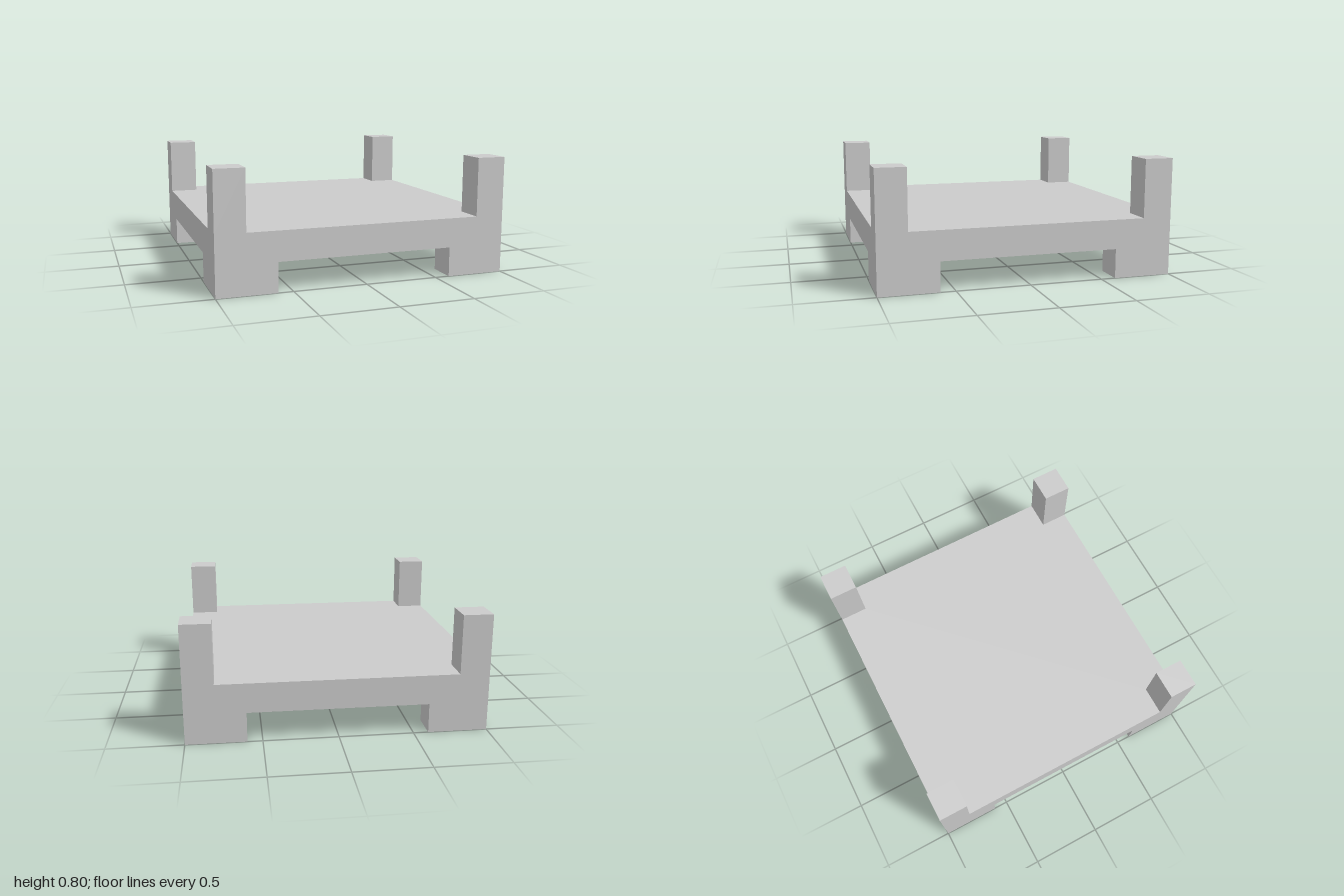
import * as THREE from 'three';

export function createModel() {
  const model = new THREE.Group();
  const material = new THREE.MeshStandardMaterial({ color: 0xcccccc, flatShading: true });

  const add = (parent, name, geometry, x, y, z) => {
    const mesh = new THREE.Mesh(geometry, material);
    mesh.name = name;
    mesh.position.set(x, y, z);
    parent.add(mesh);
  };

  // Square deck
  add(model, 'deck', new THREE.BoxGeometry(2, 0.2, 2), 0, 0.3, 0);

  // L-shaped foot, its outer corner at the origin and its arms along the deck edges
  const footShape = new THREE.Shape(
    [[0, 0], [-0.4, 0], [-0.4, -0.2], [-0.2, -0.2], [-0.2, -0.4], [0, -0.4]]
      .map(([x, y]) => new THREE.Vector2(x, y))
  );
  const footGeometry = new THREE.ExtrudeGeometry(footShape, { depth: 0.2, bevelEnabled: false });
  footGeometry.rotateX(-Math.PI / 2);

  const postGeometry = new THREE.BoxGeometry(0.2, 0.4, 0.2);

  // A foot below and a post above each corner, turned in quarter steps
  for (let i = 0; i < 4; i++) {
    const corner = new THREE.Group();
    corner.name = 'corner';
    add(corner, 'foot', footGeometry, 1, 0, -1);
    add(corner, 'post', postGeometry, 0.9, 0.6, -0.9);
    corner.rotation.y = i * Math.PI / 2;
    model.add(corner);
  }

  return model;
}
